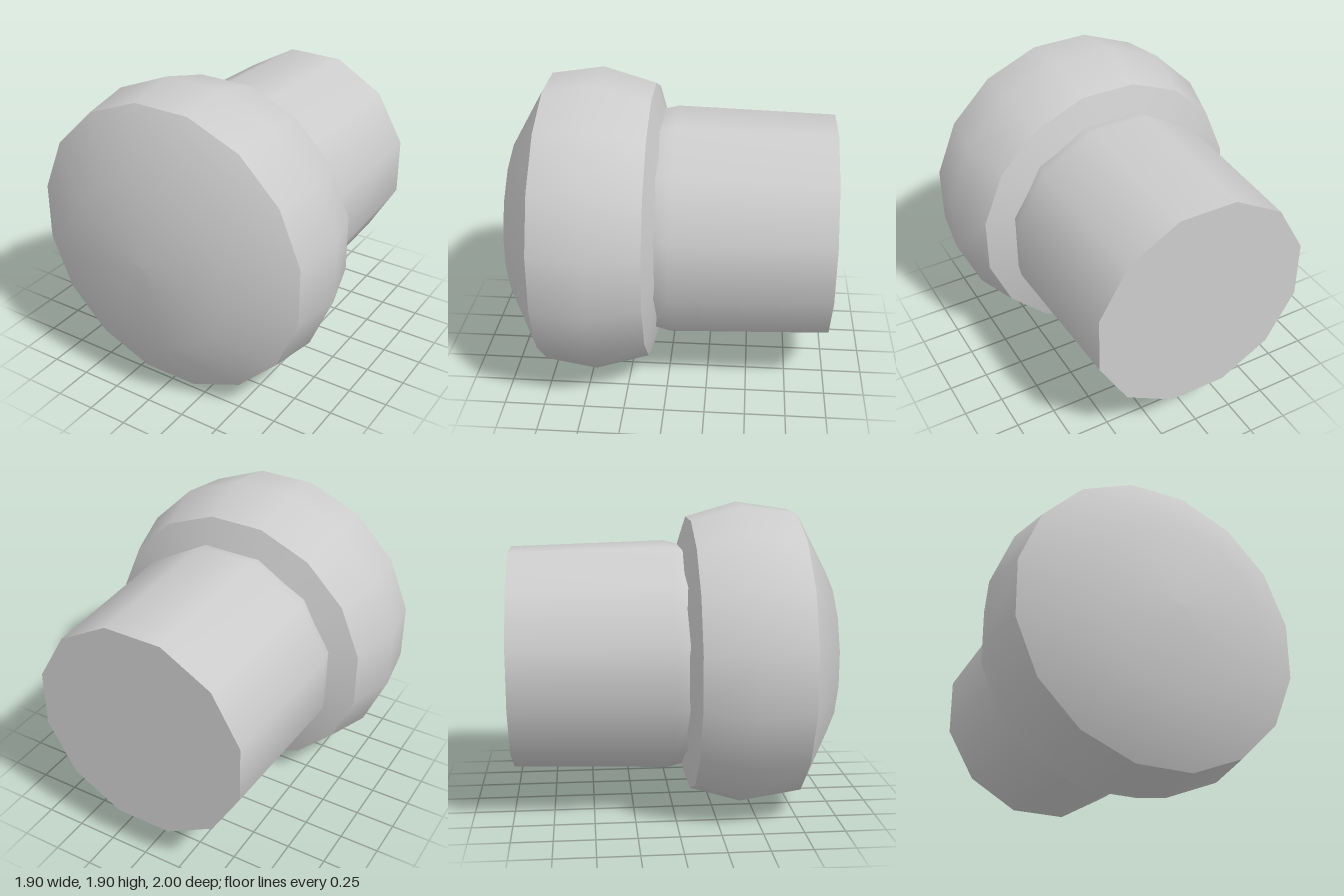
import * as THREE from 'three';

export function createModel() {
  const model = new THREE.Group();
  const grey = new THREE.MeshStandardMaterial({ color: 0xcccccc });
  grey.name = 'light grey';

  // Revolve [distance to flat, z] profile points about the z axis, back to front,
  // with a flat side at the top
  function turned(name, sides, profile) {
    const k = 1 / Math.cos(Math.PI / sides);
    const points = profile.map(([r, z]) => new THREE.Vector2(r * k, z));
    const geometry = new THREE.LatheGeometry(points, sides, Math.PI / sides);
    geometry.rotateX(Math.PI / 2);
    const mesh = new THREE.Mesh(geometry, grey);
    mesh.name = name;
    return mesh;
  }

  // Mushroom-like head, split where its edges are sharp
  const head = new THREE.Group();
  head.name = 'head';
  head.add(
    turned('headCollar', 16, [[0.58, 0.025], [0.86, 0.118]]),
    turned('headRim', 16, [[0.86, 0.118], [0.952, 0.445], [0.905, 0.77]]),
    turned('headDome', 16, [[0.905, 0.77], [0.527, 0.982], [0, 1]]),
  );

  // Tapered shaft with a flat back end
  const shaft = new THREE.Group();
  shaft.name = 'shaft';
  shaft.add(
    turned('shaftEnd', 12, [[0, -1], [0.678, -1]]),
    turned('shaftSide', 12, [[0.678, -1], [0.707, -0.025], [0.68, 0.09]]),
  );

  model.add(head, shaft);
  head.position.y = shaft.position.y = 0.955;
  return model;
}
